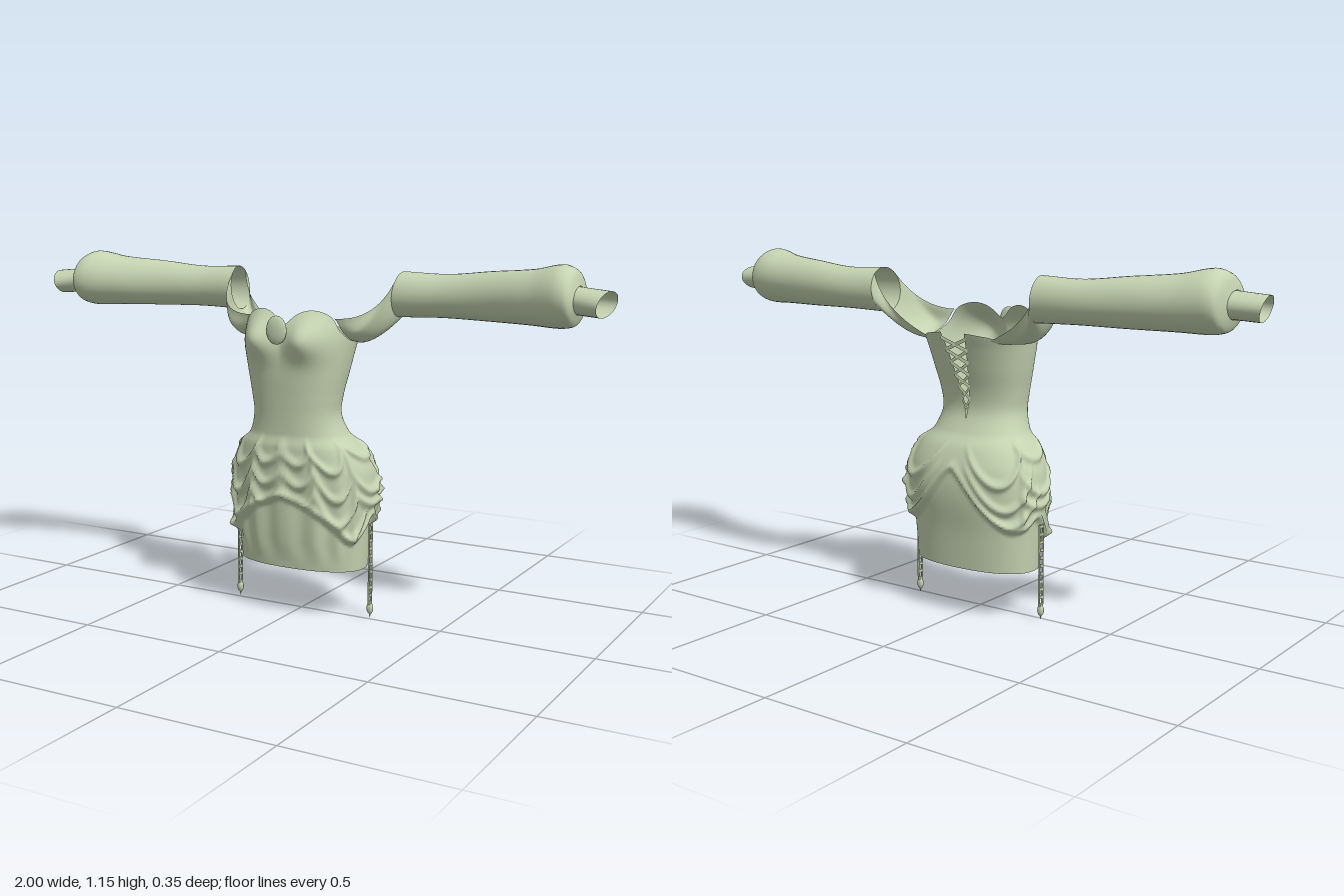
import * as THREE from 'three';
import { mergeVertices } from 'three/addons/utils/BufferGeometryUtils.js';

const { sin, cos, abs, sign, pow, exp, PI, min, max } = Math;
const cloth = new THREE.MeshStandardMaterial({ color: 0xc5d3b1, side: THREE.DoubleSide });
cloth.name = 'paleGreenCloth';

// Smooth interpolation of table rows [t, a, b, ...]
function sample(rows, t) {
  const n = rows.length - 1;
  t = min(max(t, rows[0][0]), rows[n][0]);
  let i = 0;
  while (i < n - 1 && t > rows[i + 1][0]) i++;
  const a = rows[i], b = rows[i + 1], p = rows[max(i - 1, 0)], q = rows[min(i + 2, n)];
  const h = b[0] - a[0], s = (t - a[0]) / h;
  return a.slice(1).map((_, k) => {
    k++;
    const m0 = (b[k] - p[k]) / (b[0] - p[0]) * h, m1 = (q[k] - a[k]) / (q[0] - a[0]) * h;
    return (2 * s ** 3 - 3 * s * s + 1) * a[k] + (s ** 3 - 2 * s * s + s) * m0
      + (3 * s * s - 2 * s ** 3) * b[k] + (s ** 3 - s * s) * m1;
  });
}

// Smooth surface from a rule f(u, v) -> [x, y, z]
function surface(nu, nv, f) {
  const pos = [], idx = [];
  for (let j = 0; j <= nv; j++) for (let i = 0; i <= nu; i++) pos.push(...f(i / nu, j / nv));
  for (let j = 0; j < nv; j++) for (let i = 0; i < nu; i++) {
    const a = j * (nu + 1) + i, b = a + 1, c = a + nu + 1, d = c + 1;
    idx.push(a, b, d, a, d, c);
  }
  let g = new THREE.BufferGeometry();
  g.setAttribute('position', new THREE.Float32BufferAttribute(pos, 3));
  g.setIndex(idx);
  g = mergeVertices(g, 1e-5);
  g.computeVertexNormals();
  return g;
}

function add(parent, name, geometry) {
  const m = new THREE.Mesh(geometry, cloth);
  m.name = name;
  parent.add(m);
  return m;
}

// Body sections: height, half width, front z, back z
const BODY = [
  [0.16, 0.222, 0.098, -0.132], [0.28, 0.23, 0.113, -0.143], [0.4, 0.238, 0.12, -0.16],
  [0.48, 0.232, 0.122, -0.157], [0.54, 0.205, 0.122, -0.137], [0.6, 0.165, 0.123, -0.103],
  [0.66, 0.146, 0.126, -0.077], [0.72, 0.152, 0.131, -0.08], [0.8, 0.168, 0.138, -0.105],
  [0.87, 0.18, 0.138, -0.13], [0.93, 0.188, 0.122, -0.155], [1.0, 0.19, 0.09, -0.165],
];
// Neckline and drape hem heights by angle from the front
const NECK = [[0, 0.945], [0.2, 0.983], [0.5, 0.995], [0.9, 0.975], [1.2, 0.93], [1.6, 0.9], [2.2, 0.895], [2.7, 0.913], [PI, 0.923]];
const HEM = [[0, 0.4], [0.35, 0.36], [0.7, 0.31], [1.1, 0.255], [1.4, 0.29], [1.62, 0.335], [1.9, 0.305], [2.3, 0.3], [2.7, 0.36], [PI, 0.49]];
// Swag folds: angle centre, half span, top height, sag
const SWAGS = [
  [0.2, 0.22, 0.56, 0.05], [0.2, 0.22, 0.5, 0.06], [0.2, 0.22, 0.43, 0.06],
  [0.72, 0.35, 0.57, 0.08], [0.75, 0.36, 0.5, 0.1], [0.8, 0.4, 0.43, 0.11], [0.95, 0.5, 0.37, 0.1],
  [1.6, 0.48, 0.58, 0.05], [1.55, 0.5, 0.49, 0.07], [1.6, 0.5, 0.42, 0.04],
  [2.45, 0.55, 0.57, 0.12], [2.35, 0.65, 0.52, 0.15], [2.3, 0.72, 0.45, 0.13],
];
const POW = 0.86;
const bend = s => sign(s) * pow(abs(s), POW);
const step = (a, b, t) => { t = min(max((t - a) / (b - a), 0), 1); return t * t * (3 - 2 * t); };

function drape(phi, y) {
  if (y > 0.63) return 0;
  const p = abs(phi), hem = sample(HEM, p)[0];
  const layer = step(hem - 0.012, hem + 0.012, y) * (1 - step(0.56, 0.6, y));
  let d = 0.008 * layer + 0.008 * exp(-(((y - hem - 0.012) / 0.013) ** 2));
  for (const [c, span, top, sag] of SWAGS) {
    const t = (p - c) / span;
    if (abs(t) < 1) d += 0.014 * (1 - t ** 4) * exp(-(((y - top + sag * (1 - t * t)) / 0.014) ** 2)) * layer;
  }
  // Gathers between the swags, and front pleats
  for (const g of [0, 0.42, 1.1, 2.0]) d += 0.007 * exp(-(((p - g) / 0.05) ** 2)) * layer;
  return d + 0.004 * cos(p * 15) * (1 - step(0.8, 1.1, p)) * step(0.17, 0.25, y) * (1 - step(0.4, 0.5, y));
}

function bodyPoint(phi, y, lift = 0) {
  const [w, zf, zb] = sample(BODY, y);
  const d = drape(phi, y) + lift;
  const x = (w + d) * bend(sin(phi));
  let z = (zf + zb) / 2 + ((zf - zb) / 2 + d) * bend(cos(phi));
  // Bust
  if (cos(phi) > 0) z += 0.05 * exp(-(((abs(x) - 0.088) / 0.062) ** 2) - ((y - 0.91) / 0.062) ** 2) * step(0, 0.5, cos(phi));
  return [x, y, z];
}

const slitAngle = y => y < 0.64 ? 0 : pow(0.045 * (y - 0.64) / 0.28 / sample(BODY, y)[0], 1 / POW);

function buildBody(g) {
  // Bodice and draped skirt with the open back slit
  add(g, 'bodiceAndSkirt', surface(192, 110, (u, v) => {
    const raw = (u * 2 - 1) * PI, top = sample(NECK, abs(raw))[0];
    const y = 0.16 + v * (top - 0.16);
    return bodyPoint(raw * (1 - slitAngle(y) / PI), y);
  }));
  const gem = add(g, 'bustOrnament', new THREE.SphereGeometry(1, 28, 16));
  gem.scale.set(0.036, 0.045, 0.012);
  gem.position.set(0, 0.936, 0.158);

  // Crossed laces over the slit
  const lacing = new THREE.Group();
  lacing.name = 'backLacing';
  g.add(lacing);
  for (let i = 0; i < 6; i++) for (const s of [-1, 1]) {
    const y0 = 0.665 + i * 0.04, y1 = y0 + 0.04;
    const a = bodyPoint(PI - slitAngle(y0) - 0.03, y0, 0.003), b = bodyPoint(PI - slitAngle(y1) - 0.03, y1, 0.003);
    add(lacing, 'lace', surface(1, 1, (u, v) => [
      s * (v ? -b[0] : a[0]), (v ? y1 : y0) + (u - 0.5) * 0.012, v ? b[2] : a[2]]));
  }

  // Inner brief joining front and back beneath the skirt
  const BRIEF = [[0, 0.5, 0.112, 0.12], [0.2, 0.4, 0.1, 0.08], [0.4, 0.31, 0.055, 0.035], [0.5, 0.29, 0, 0.022],
    [0.62, 0.31, -0.06, 0.035], [0.8, 0.4, -0.13, 0.08], [1, 0.5, -0.135, 0.12]];
  add(g, 'innerBrief', surface(8, 28, (u, v) => {
    const [y, z, w] = sample(BRIEF, v), t = u * 2 - 1;
    return [t * w, y, z * (1 - 0.2 * t * t)];
  }));
}

// Sleeve sections: x, low y, high y, back z, front z
const SLEEVE = [
  [0.3, 0.968, 1.112, -0.178, -0.045], [0.45, 0.972, 1.108, -0.18, -0.05], [0.6, 0.97, 1.122, -0.172, -0.03],
  [0.75, 0.968, 1.135, -0.16, 0.015], [0.84, 0.965, 1.152, -0.153, 0.048], [0.875, 0.97, 1.142, -0.145, 0.052],
  [0.89, 0.98, 1.125, -0.13, 0.045], [0.9, 1.008, 1.092, -0.09, 0.025],
];
const CUFF = [[0.885, 1.01, 1.092, -0.088, 0.022], [0.985, 1.004, 1.082, -0.082, 0.045]];

function ring(rows, x, a, shear) {
  const [y0, y1, z0, z1] = sample(rows, x), c = cos(a), s = sin(a);
  return [x + shear * (c - s) * 0.7, (y0 + y1) / 2 + (y1 - y0) / 2 * c, (z0 + z1) / 2 + (z1 - z0) / 2 * s];
}

function buildArm(side) {
  const arm = new THREE.Group();
  arm.name = side > 0 ? 'leftSleeve' : 'rightSleeve';
  const flip = p => [p[0] * side, p[1], p[2]];
  add(arm, 'sleeve', surface(36, 48, (u, v) => {
    const x = 0.3 + 0.6 * (1 - (1 - v) ** 1.5);
    return flip(ring(SLEEVE, x, u * 2 * PI, 0.008 * (1 - v)));
  }));
  add(arm, 'cuff', surface(28, 2, (u, v) => flip(ring(CUFF, 0.885 + 0.1 * v, u * 2 * PI, 0.015 * v))));

  // Off-shoulder band from the bodice side to the lower part of the sleeve opening
  const MID = [[0, 1.0, 0.03, 0.262], [0.25, 0.94, 0.04, 0.245], [0.5, 0.905, -0.03, 0.24], [0.75, 0.925, -0.11, 0.243], [1, 0.985, -0.135, 0.255]];
  add(arm, 'shoulderBand', surface(28, 14, (u, v) => {
    const phi = 0.9 + u * 1.6;
    const a = bodyPoint(phi, sample(NECK, phi)[0] - 0.004);
    const [my, mz, mx] = sample(MID, u);
    const b = ring(SLEEVE, 0.3, 0.75 + u * (2 * PI - 1.5), 0.008);
    // Parabola through the three rows
    const A = (1 - v) * (1 - 2 * v), M = 4 * v * (1 - v), B = v * (2 * v - 1);
    return flip([mx, my, mz].map((m, k) => A * a[k] + M * m + B * b[k]));
  }));
  return arm;
}

// Hanging garter: two thin rails with rungs and a clip
function buildGarter(side) {
  const g = new THREE.Group();
  g.name = side > 0 ? 'leftGarter' : 'rightGarter';
  for (const z of [-0.009, 0.009]) add(g, 'garterRail', new THREE.BoxGeometry(0.005, 0.27, 0.005)).position.set(0, 0.18, z);
  for (let i = 0; i < 11; i++) add(g, 'garterRung', new THREE.BoxGeometry(0.007, 0.009, 0.018)).position.set(0, 0.05 + i * 0.026, 0);
  const clip = add(g, 'garterClip', new THREE.SphereGeometry(0.013, 10, 8));
  clip.scale.set(0.9, 1.5, 0.7);
  clip.position.y = 0.032;
  add(g, 'garterTip', new THREE.ConeGeometry(0.005, 0.02, 8).rotateX(PI)).position.y = 0.01;
  g.position.set(side * 0.247, 0, -0.012);
  return g;
}

export function createModel() {
  const g = new THREE.Group();
  g.name = 'corsetDress';
  buildBody(g);
  for (const side of [1, -1]) g.add(buildArm(side), buildGarter(side));
  return g;
}
